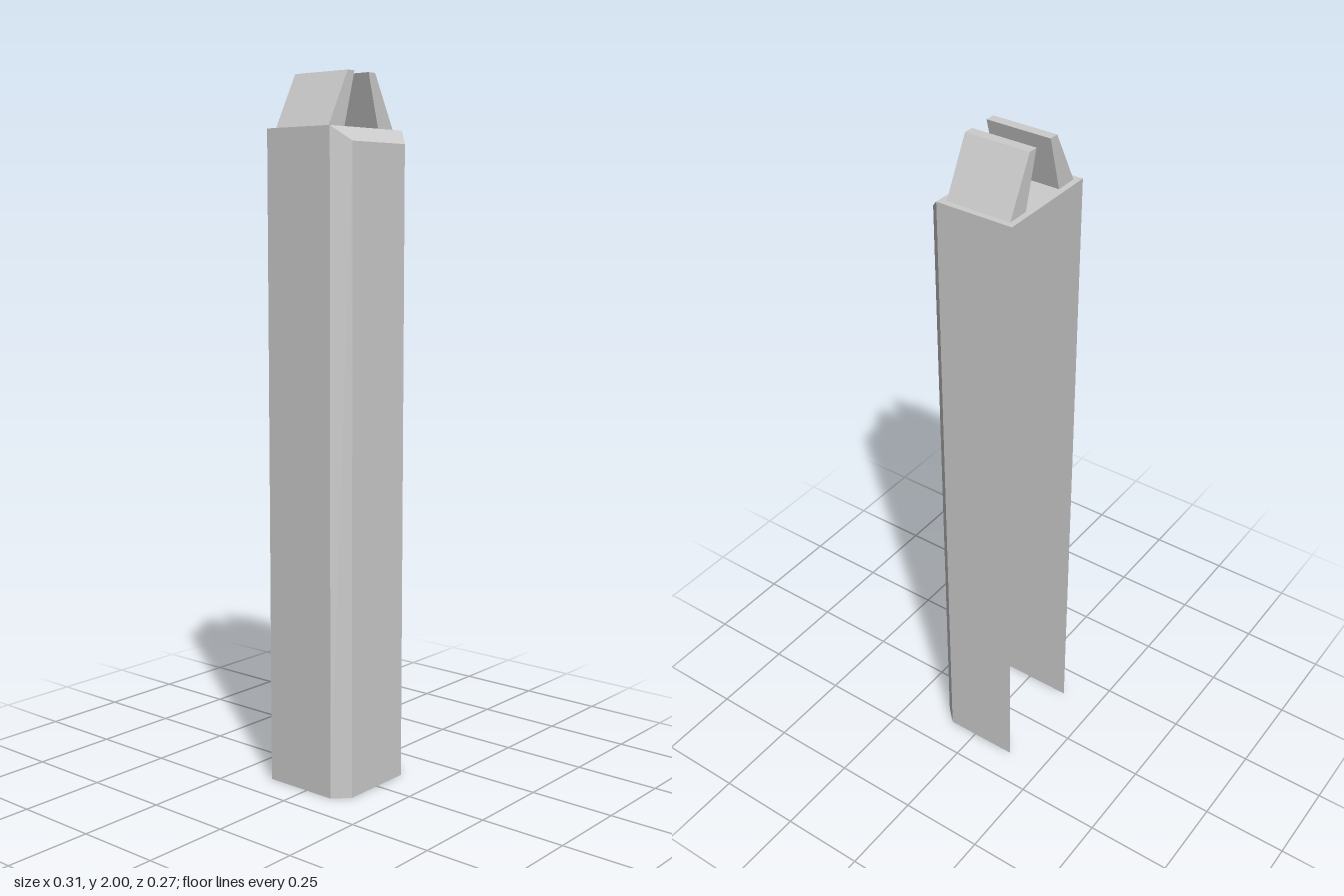
import * as THREE from 'three';

const material = new THREE.MeshStandardMaterial({ color: 0xcccccc, side: THREE.DoubleSide, flatShading: true });

// Flat-shaded mesh from four-cornered panels, corners anticlockwise seen from outside
function panels(name, quads) {
  const positions = quads.flatMap(([a, b, c, d]) => [a, b, c, a, c, d].flat());
  const geometry = new THREE.BufferGeometry();
  geometry.setAttribute('position', new THREE.Float32BufferAttribute(positions, 3));
  geometry.computeVertexNormals();
  const mesh = new THREE.Mesh(geometry, material);
  mesh.name = name;
  return mesh;
}

const TOP = 1.85, TIP = 2;
const PRONG_BACK = -0.117, PRONG_FRONT = 0.071;

// Thin post casing: open at the back and underneath, with bevelled front corners
function createCasing() {
  // x, z and top height of each vertical edge, from back right round the front to back left
  const edges = [
    [-0.154, -0.134, TOP], [-0.154, 0.09, TOP], [-0.112, 0.133, 1.81],
    [0.112, 0.133, 1.81], [0.154, 0.09, TOP], [0.154, -0.134, TOP],
  ];
  const quads = [];
  for (let i = 0; i < edges.length - 1; i++) {
    const [x0, z0, h0] = edges[i], [x1, z1, h1] = edges[i + 1];
    quads.push([[x0, 0, z0], [x1, 0, z1], [x1, h1, z1], [x0, h0, z0]]);
  }
  // sloping strip between front panel and top
  quads.push([[-0.112, 1.81, 0.133], [0.112, 1.81, 0.133], [0.154, TOP, 0.09], [-0.154, TOP, 0.09]]);
  return panels('casing', quads);
}

// Top plate, open beneath each hollow prong
function createTopPlate() {
  const rect = (Type, x0, x1, z0, z1) => new Type([
    new THREE.Vector2(x0, -z0), new THREE.Vector2(x0, -z1),
    new THREE.Vector2(x1, -z1), new THREE.Vector2(x1, -z0),
  ]);
  const shape = rect(THREE.Shape, -0.154, 0.154, -0.134, 0.09);
  shape.holes.push(rect(THREE.Path, -0.137, -0.072, PRONG_BACK, PRONG_FRONT));
  shape.holes.push(rect(THREE.Path, 0.072, 0.137, PRONG_BACK, PRONG_FRONT));
  const geometry = new THREE.ShapeGeometry(shape).rotateX(-Math.PI / 2).translate(0, TOP, 0);
  const mesh = new THREE.Mesh(geometry, material);
  mesh.name = 'topPlate';
  return mesh;
}

// Tapered hollow prong leaning towards the middle
function createProng(side) {
  const section = [[0.072, TOP], [0.137, TOP], [0.058, TIP], [0.03, TIP]].map(([x, y]) => [x * side, y]);
  if (side < 0) section.reverse();
  const front = section.map(([x, y]) => [x, y, PRONG_FRONT]);
  const back = section.map(([x, y]) => [x, y, PRONG_BACK]);
  const quads = [front, [...back].reverse()];
  for (let i = 0; i < 4; i++) {
    const j = (i + 1) % 4;
    if (section[i][1] === TOP && section[j][1] === TOP) continue; // open base
    quads.push([front[i], back[i], back[j], front[j]]);
  }
  return panels(side > 0 ? 'leftProng' : 'rightProng', quads);
}

export function createModel() {
  const model = new THREE.Group();
  model.name = 'post';
  model.add(createCasing(), createTopPlate(), createProng(1), createProng(-1));
  return model;
}
